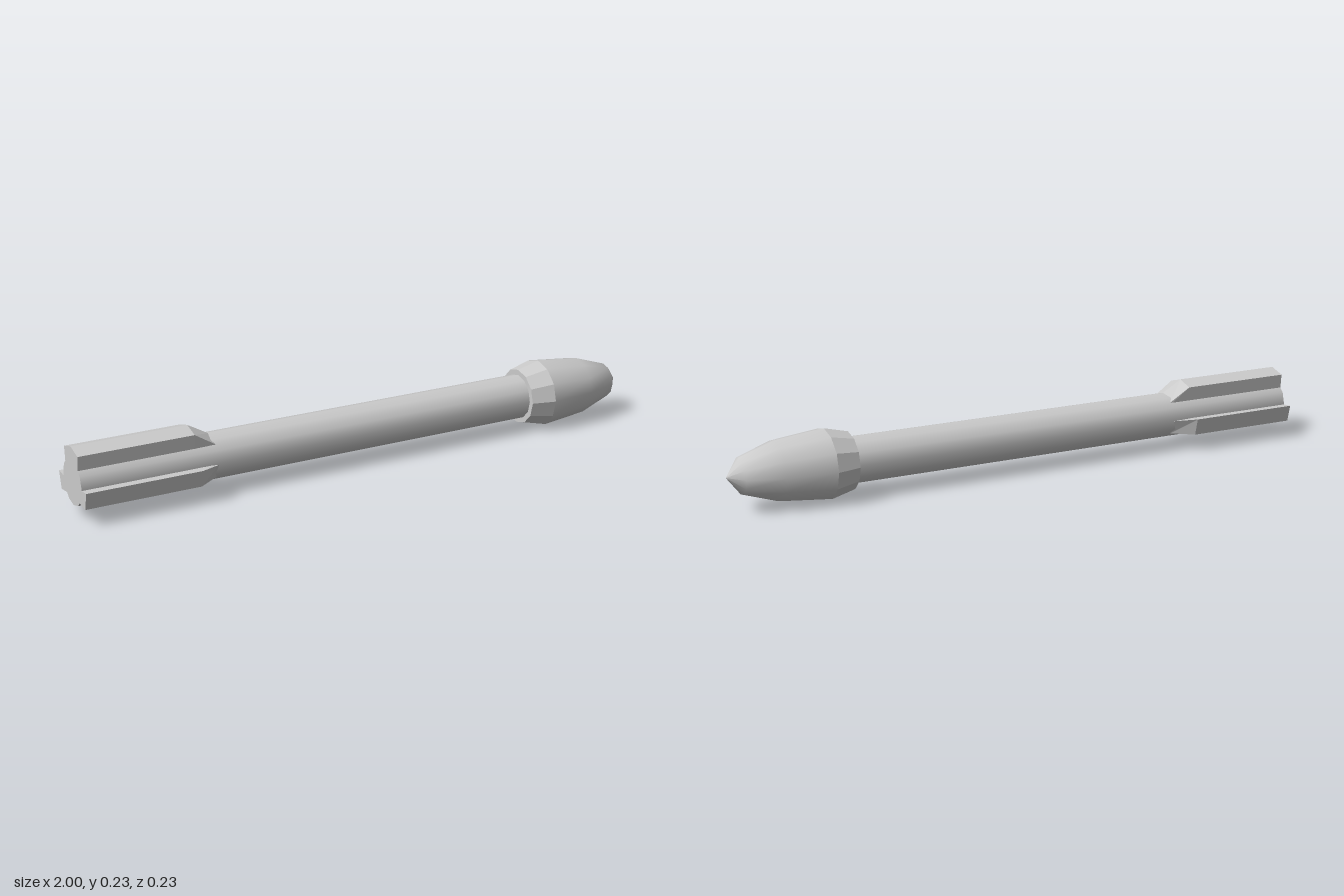
import * as THREE from 'three';

const SIDES = 12;
const AXIS_Y = 0.113;
const smooth = () => new THREE.MeshStandardMaterial({ color: 0xcccccc });
const flat = () => new THREE.MeshStandardMaterial({ color: 0xcccccc, flatShading: true });

// Turned part along the x axis; profile is a list of [x, radius]
function turned(profile) {
  const pts = profile.map(([x, r]) => new THREE.Vector2(r, x));
  return new THREE.LatheGeometry(pts, SIDES).rotateZ(-Math.PI / 2);
}

// Solid through sections [x, [[z, y], ...]], each anticlockwise when seen from -x
function loft(sections) {
  const pos = [];
  const v = (s, i) => {
    const [z, y] = s[1][i % s[1].length];
    return [s[0], y, z];
  };
  const tri = (a, b, c) => pos.push(...a, ...b, ...c);
  const n = sections[0][1].length;
  for (let k = 0; k < sections.length - 1; k++) {
    const a = sections[k], b = sections[k + 1];
    for (let i = 0; i < n; i++) {
      tri(v(a, i), v(b, i + 1), v(a, i + 1));
      tri(v(a, i), v(b, i), v(b, i + 1));
    }
  }
  for (let i = 1; i < n - 1; i++) tri(v(sections[0], 0), v(sections[0], i), v(sections[0], i + 1));
  const g = new THREE.BufferGeometry();
  g.setAttribute('position', new THREE.Float32BufferAttribute(pos, 3));
  g.computeVertexNormals();
  return g;
}

// Fin: full height from the tail to x = -0.62, then sloping down to the shaft
function fin(outer, base, foot) {
  // the section must turn so that its end face looks to -x
  const order = (p) => {
    const s = [...p, ...base];
    const area = s.reduce((t, [z, y], i) => {
      const [z2, y2] = s[(i + 1) % s.length];
      return t + z * y2 - z2 * y;
    }, 0);
    return area > 0 ? s : s.reverse();
  };
  return loft([[-1, order(outer)], [-0.62, order(outer)], [-0.55, order(foot)]]);
}

export function createModel() {
  const model = new THREE.Group();
  const add = (name, geometry, material) => {
    const mesh = new THREE.Mesh(geometry, material);
    mesh.name = name;
    mesh.position.y = AXIS_Y;
    model.add(mesh);
  };

  // Long shaft with closed ends
  add('shaft', new THREE.CylinderGeometry(0.075, 0.075, 1.62, SIDES)
    .rotateZ(-Math.PI / 2).translate(-0.19, 0, 0), smooth());

  // Faceted collar behind the rounded nose
  add('collar', turned([[0.6, 0.06], [0.6, 0.093], [0.68, 0.113]]), flat());
  add('nose', turned([[0.68, 0.113], [0.84, 0.096], [0.955, 0.058], [1, 0]]), smooth());

  // Wide ridged fin on top
  add('topFin', fin(
    [[-0.055, 0.098], [0, 0.114], [0.055, 0.098]],
    [[0.05, 0.045], [-0.05, 0.045]],
    [[-0.05, 0.054], [0, 0.074], [0.05, 0.054]]), flat());

  // Mirrored pair of side fins, set slightly low
  for (const [name, s] of [['frontFin', 1], ['backFin', -1]]) {
    const m = (pts) => pts.map(([z, y]) => [s * z, y]);
    add(name, fin(
      m([[0.111, 0], [0.097, -0.056]]),
      m([[0.045, -0.05], [0.05, -0.006]]),
      m([[0.074, -0.006], [0.052, -0.053]])), flat());
  }
  return model;
}
